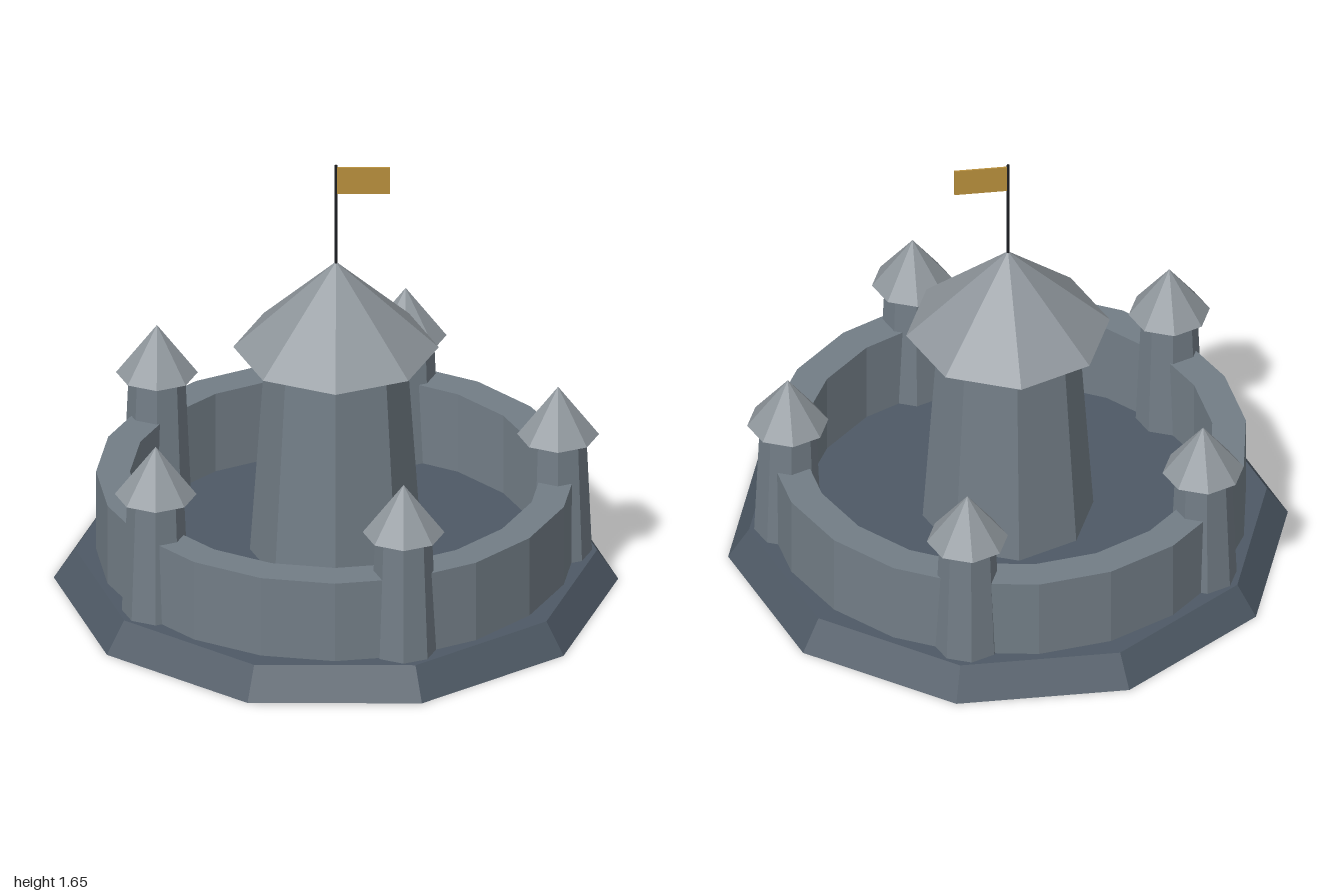
import * as THREE from 'three';

const mat = (color) =>
  new THREE.MeshStandardMaterial({ color, flatShading: true, side: THREE.DoubleSide });

export function createModel() {
  const group = new THREE.Group();
  const earth = mat(0x4e5965), stone = mat(0x727d86), slate = mat(0x8f969c);
  const iron = mat(0x1c1e22), cloth = mat(0xb88f3c);

  const add = (parent, name, geometry, material) => {
    const mesh = new THREE.Mesh(geometry, material);
    mesh.name = name;
    parent.add(mesh);
  };

  // Open faceted shell between two heights, with a corner on the +x axis
  const shell = (rTop, rBottom, y0, y1, sides) =>
    new THREE.CylinderGeometry(rTop, rBottom, y1 - y0, sides, 1, true)
      .rotateY(Math.PI / 2)
      .translate(0, (y0 + y1) / 2, 0);

  // Ten-sided sloping mound, hollow underneath, with a flat courtyard on top
  const ground = 0.115;
  add(group, 'baseSlope', shell(0.925, 1, 0, ground, 10), earth);
  add(group, 'courtyard',
    new THREE.CircleGeometry(0.925, 10).rotateX(-Math.PI / 2).translate(0, ground, 0), earth);

  // Twenty-sided ring wall
  const profile = [[0.85, ground], [0.85, 0.425], [0.73, 0.425], [0.73, ground]]
    .map(([r, y]) => new THREE.Vector2(r, y));
  add(group, 'ringWall', new THREE.LatheGeometry(profile, 20), stone);

  // Central keep with its hollow roof
  const keep = new THREE.Group();
  keep.name = 'keep';
  add(keep, 'keepBody', shell(0.25, 0.305, ground, 0.927, 8), stone);
  add(keep, 'keepRoof', shell(0, 0.364, 0.925, 1.267, 8), slate);
  group.add(keep);

  // Five towers spaced evenly along the wall
  for (let i = 0; i < 5; i++) {
    const a = (i * Math.PI * 2) / 5;
    const tower = new THREE.Group();
    tower.name = `tower${i + 1}`;
    add(tower, 'towerBody', shell(0.1, 0.12, ground, 0.582, 8), stone);
    add(tower, 'towerRoof', shell(0, 0.145, 0.579, 0.768, 8), slate);
    tower.position.set(0.787 * Math.cos(a), 0, 0.787 * Math.sin(a));
    group.add(tower);
  }

  // Flagpole and flag
  add(group, 'flagpole', shell(0.005, 0.005, 1.25, 1.653, 8), iron);
  add(group, 'flag', new THREE.BoxGeometry(0.19, 0.105, 0.006).translate(0.097, 1.592, 0), cloth);

  return group;
}
